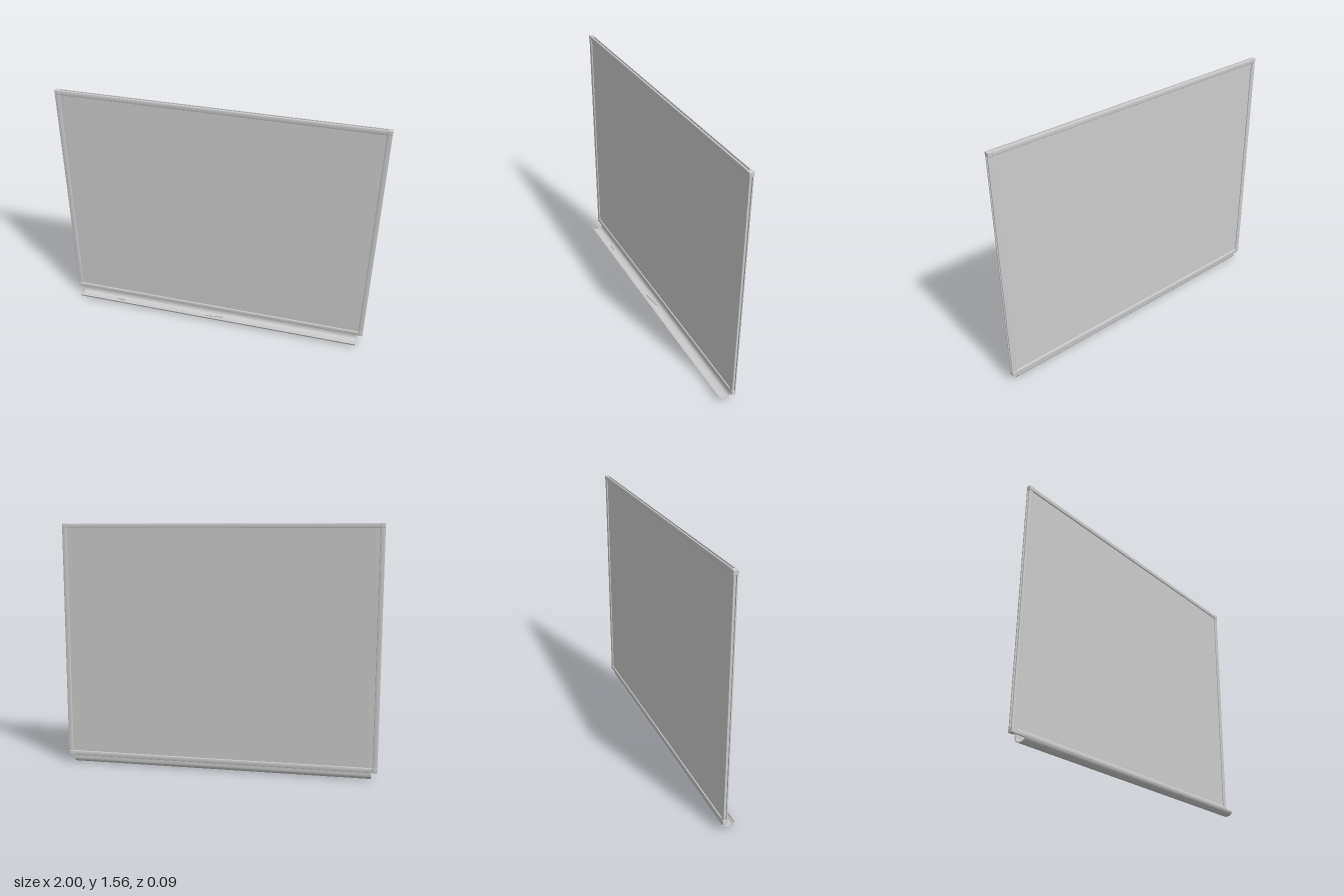
import * as THREE from 'three';
import { toCreasedNormals } from 'three/addons/utils/BufferGeometryUtils.js';
import { RoundedBoxGeometry } from 'three/addons/geometries/RoundedBoxGeometry.js';

const LEFT = 1, BOTTOM = 0.05, TOP = 1.56; // outer edges of the frame
const RAIL = 0.03, DEPTH = 0.028, BOARD_Z = -0.031;
const MID_Y = (BOTTOM + TOP) / 2;

export function createModel() {
  const model = new THREE.Group();
  const material = new THREE.MeshStandardMaterial({ color: 0xcccccc, side: THREE.DoubleSide });

  const add = (name, geometry, x = 0, y = 0, z = 0) => {
    const mesh = new THREE.Mesh(geometry, material);
    mesh.name = name;
    mesh.position.set(x, y, z);
    model.add(mesh);
    return mesh;
  };

  // Writing panel, set back inside the frame on both faces
  add('panel', new THREE.BoxGeometry(2 * (LEFT - 0.02), TOP - BOTTOM - 0.04, 0.012), 0, MID_Y, BOARD_Z);

  // Rail section: softened bar with a groove along its outer edge
  const w = RAIL / 2, d = DEPTH / 2 - 0.001, r = 0.004, g = 0.005;
  const section = new THREE.Shape();
  section.moveTo(-w, -d + r);
  section.quadraticCurveTo(-w, -d, -w + r, -d);
  section.lineTo(w - r, -d);
  section.quadraticCurveTo(w, -d, w, -d + r);
  section.lineTo(w, -g);
  section.lineTo(w - 0.009, -g);
  section.lineTo(w - 0.009, g);
  section.lineTo(w, g);
  section.lineTo(w, d - r);
  section.quadraticCurveTo(w, d, w - r, d);
  section.lineTo(-w + r, d);
  section.quadraticCurveTo(-w, d, -w, d - r);
  section.closePath();

  // Each rail points its groove along the outward direction
  const addRail = (name, outward, length, x, y) => {
    const depthAxis = new THREE.Vector3(0, 0, 1);
    const along = outward.clone().cross(depthAxis);
    const geometry = new THREE.ExtrudeGeometry(section, { depth: length, bevelEnabled: false, curveSegments: 5 });
    geometry.translate(0, 0, -length / 2);
    geometry.applyMatrix4(new THREE.Matrix4().makeBasis(outward, depthAxis, along));
    add(name, toCreasedNormals(geometry, 0.6), x, y, BOARD_Z);
  };
  const across = 2 * (LEFT - RAIL), upright = TOP - BOTTOM - 2 * RAIL;
  addRail('topRail', new THREE.Vector3(0, 1, 0), across, 0, TOP - w);
  addRail('bottomRail', new THREE.Vector3(0, -1, 0), across, 0, BOTTOM + w);
  for (const side of [1, -1]) {
    const label = side > 0 ? 'left' : 'right';
    addRail(label + 'Rail', new THREE.Vector3(side, 0, 0), upright, side * (LEFT - w), MID_Y);
    // Corner caps joining the rails
    for (const y of [TOP - w, BOTTOM + w]) {
      add(label + (y > MID_Y ? 'Top' : 'Bottom') + 'Cap',
        new RoundedBoxGeometry(RAIL, RAIL, DEPTH + 0.002, 3, 0.004), side * (LEFT - w), y, BOARD_Z);
    }
  }

  // Tray: thin curved sheet hanging below the bottom rail; section is (z, y)
  const trayCurve = new THREE.CurvePath();
  const v = (z, y) => new THREE.Vector2(z, y);
  trayCurve.add(new THREE.LineCurve(v(-0.031, 0.056), v(-0.031, 0.034)));
  trayCurve.add(new THREE.CubicBezierCurve(v(-0.031, 0.034), v(-0.031, 0.014), v(-0.015, 0.003), v(0.004, 0.003)));
  trayCurve.add(new THREE.CubicBezierCurve(v(0.004, 0.003), v(0.028, 0.003), v(0.042, 0.012), v(0.045, 0.03)));
  const line = trayCurve.getPoints(8);
  const half = 0.003;
  const offset = (sign) => line.map((p, i) => {
    const t = line[Math.min(i + 1, line.length - 1)].clone().sub(line[Math.max(i - 1, 0)]).normalize();
    return v(p.x - sign * half * t.y, p.y + sign * half * t.x);
  });
  const traySection = new THREE.Shape([...offset(1), ...offset(-1).reverse()]);
  const tray = new THREE.ExtrudeGeometry(traySection, { depth: 1.925, bevelEnabled: false });
  tray.translate(0, 0, -1.925 / 2);
  tray.applyMatrix4(new THREE.Matrix4().makeBasis(
    new THREE.Vector3(0, 0, 1), new THREE.Vector3(0, 1, 0), new THREE.Vector3(-1, 0, 0)));
  add('tray', toCreasedNormals(tray, 0.6));

  // Two sticks of chalk lying in the tray
  const addChalk = (name, length, x, z, turn) => {
    const stick = new THREE.CylinderGeometry(0.007, 0.008, length, 16).rotateZ(Math.PI / 2);
    add(name, stick, x, 0.015, z).rotation.y = turn;
  };
  addChalk('longChalk', 0.125, -0.002, 0.003, 0.12);
  addChalk('shortChalk', 0.05, -0.673, 0.003, -0.1);

  return model;
}
